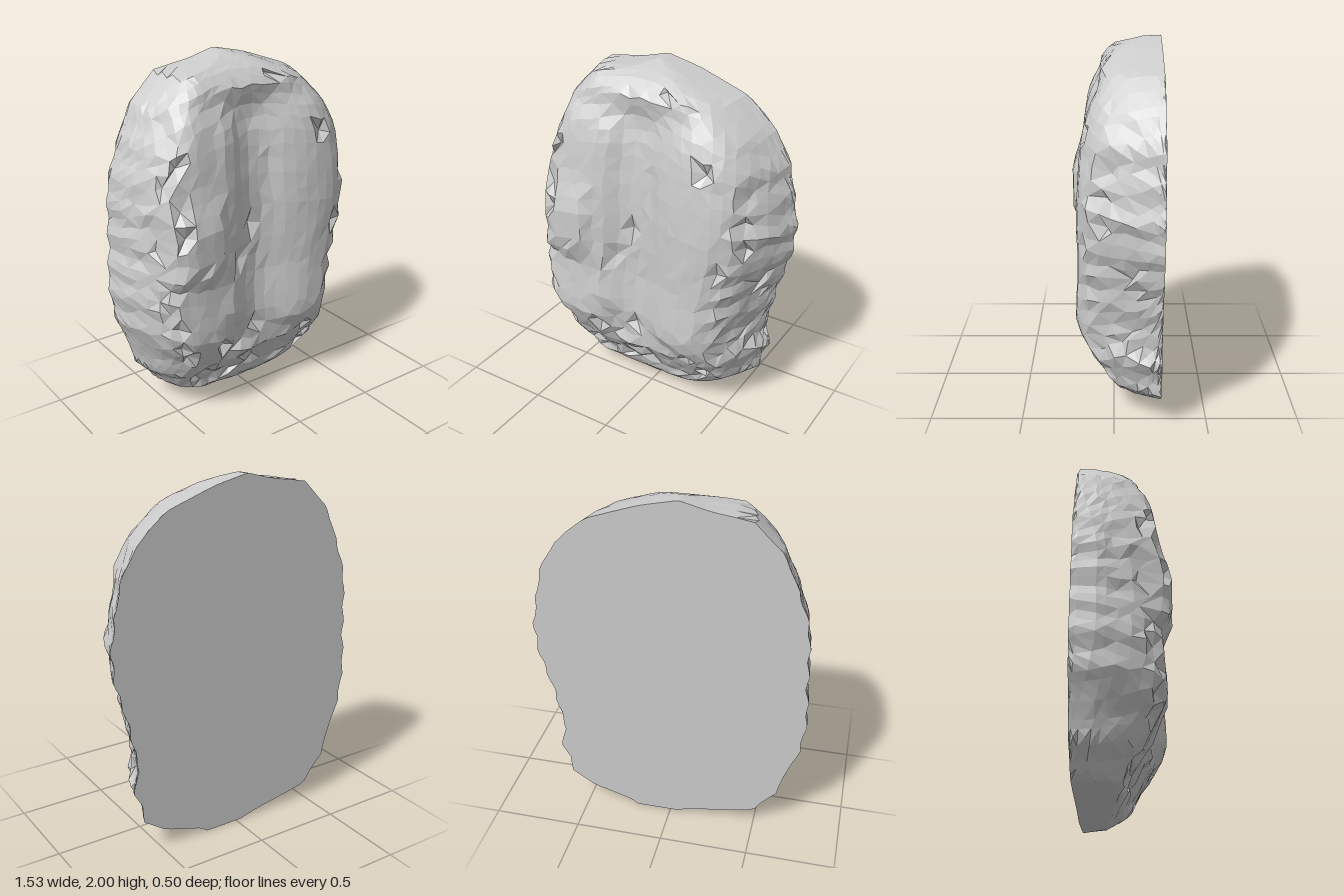
import * as THREE from 'three';

const BACK = -0.25;

// Outline and depth by height: y, left edge, right edge, front z
const LEVELS = [
  [0, -0.03, 0.2, -0.12], [0.03, -0.14, 0.24, -0.07], [0.08, -0.43, 0.4, -0.02],
  [0.1, -0.5, 0.47, -0.005], [0.19, -0.56, 0.6, 0.03], [0.25, -0.62, 0.61, 0.07],
  [0.33, -0.65, 0.62, 0.125], [0.4, -0.655, 0.67, 0.15], [0.45, -0.68, 0.63, 0.195],
  [0.5, -0.71, 0.62, 0.215], [0.6, -0.735, 0.64, 0.215], [0.8, -0.76, 0.68, 0.2],
  [1, -0.745, 0.74, 0.2], [1.18, -0.74, 0.76, 0.2], [1.36, -0.73, 0.73, 0.19],
  [1.5, -0.69, 0.7, 0.175], [1.6, -0.65, 0.67, 0.16], [1.7, -0.61, 0.6, 0.13],
  [1.78, -0.57, 0.53, 0.085], [1.86, -0.49, 0.43, 0.07], [1.93, -0.42, 0.23, 0.0],
  [1.96, -0.21, 0.14, -0.06], [2, -0.06, -0.04, -0.17],
];

// Cross-section from left to right: fraction of half width, fraction of depth
const SECTION = [
  [-1, 0], [-0.985, 0.28], [-0.93, 0.55], [-0.86, 0.8], [-0.77, 0.96], [-0.68, 1],
  [0.48, 1], [0.62, 0.97], [0.74, 0.87], [0.83, 0.68], [0.92, 0.38], [1, 0],
];

// Straight-line lookup in a table sorted by its first column
function lookup(table, key) {
  let k = 0;
  while (k < table.length - 2 && table[k + 1][0] < key) k++;
  const t = (key - table[k][0]) / (table[k + 1][0] - table[k][0]);
  return table[k].map((v, i) => v + (table[k + 1][i] - v) * t);
}

function seeded(seed) {
  return () => {
    seed = (seed * 1664525 + 1013904223) % 4294967296;
    return seed / 4294967296;
  };
}

const step = THREE.MathUtils.smoothstep;
const band = (v, a, b, c, d) => step(v, a, b) * (1 - step(v, c, d));

// Carving of the front face
function relief(x, y) {
  const hollow = -0.09 * Math.exp(-(((x + 0.03) / 0.19) ** 2)) * band(y, 0.33, 0.48, 1.68, 1.85);
  const pad = 0.05 * band(x, -0.66, -0.58, -0.31, -0.27) * band(y, 0.88, 0.93, 1.15, 1.4);
  const ledge = 0.018 * band(x, -0.32, -0.24, -0.19, -0.15) * band(y, 0.55, 0.65, 1.65, 1.75);
  const crease = -0.01 * band(x, 0, 0.03, 0.06, 0.09) * band(y, 1, 1.05, 1.5, 1.55);
  return hollow + pad + ledge + crease;
}

// Faceted surface over a grid of points
function surface(rows) {
  const positions = [];
  for (let i = 0; i < rows.length - 1; i++) {
    for (let j = 0; j < rows[i].length - 1; j++) {
      const a = rows[i][j], b = rows[i][j + 1], c = rows[i + 1][j + 1], d = rows[i + 1][j];
      const tris = (i * 7 + j * 3) % 5 < 3 ? [a, b, c, a, c, d] : [a, b, d, b, c, d];
      tris.forEach((p) => positions.push(p.x, p.y, p.z));
    }
  }
  const geometry = new THREE.BufferGeometry();
  geometry.setAttribute('position', new THREE.Float32BufferAttribute(positions, 3));
  geometry.computeVertexNormals();
  return geometry;
}

export function createModel() {
  const random = seeded(17);
  const jitter = (amount) => (random() * 2 - 1) * amount;
  const cells = 34;

  function stonePoint(u, v) {
    // Square grid rounded to a disc, with points gathered towards the rim
    let dx = u * Math.sqrt(1 - (v * v) / 2), dy = v * Math.sqrt(1 - (u * u) / 2);
    const radius = Math.hypot(dx, dy);
    const reach = Math.sin((Math.min(radius, 1) * Math.PI) / 2);
    if (radius > 0) {
      dx *= reach / radius;
      dy *= reach / radius;
    }
    const rim = Math.max(Math.abs(u), Math.abs(v)) > 0.999;
    const inside = rim ? 0 : Math.min(1, (1 - reach) * 9);

    // Disc fitted to the wavy outline
    const y = 1 + dy + jitter(0.012) * inside;
    const [, left, right, front] = lookup(LEVELS, y);
    const chord = Math.sqrt(Math.max(1 - dy * dy, 1e-9));
    const across = THREE.MathUtils.clamp(dx / chord, -1, 1);
    const wave = 1 + 0.012 * Math.sin(y * 37 + Math.sign(across)) * band(y, 0.1, 0.3, 1.6, 1.9);
    const x = (left + right) / 2 + ((right - left) / 2) * across * wave + jitter(0.01) * inside;
    if (rim) return new THREE.Vector3(x, y, BACK);

    // Chipped flanks and lower edge, smoother face
    const fraction = lookup(SECTION, across)[1];
    const rough = Math.max(1 - step(y, 0.4, 0.55), step(Math.abs(x), 0.45, 0.6));
    let z = BACK + (front - BACK + relief(x, y)) * fraction;
    z += jitter(0.002 + 0.01 * rough) * inside;
    if (random() < 0.015 + 0.12 * rough) z -= (0.02 + 0.03 * random()) * inside;
    return new THREE.Vector3(x, y, Math.max(z, BACK));
  }

  const rows = [];
  for (let i = 0; i <= cells; i++) {
    rows.push([]);
    for (let j = 0; j <= cells; j++) rows[i].push(stonePoint((2 * j) / cells - 1, (2 * i) / cells - 1));
  }

  const material = new THREE.MeshStandardMaterial({ color: 0xcccccc, flatShading: true });
  const group = new THREE.Group();
  group.name = 'stoneSlab';

  const face = new THREE.Mesh(surface(rows), material);
  face.name = 'carvedFace';
  group.add(face);

  // Flat back on the same rim, wound the other way
  const flat = rows.map((row) => row.map((p) => new THREE.Vector3(p.x, p.y, BACK)).reverse());
  const back = new THREE.Mesh(surface(flat), material);
  back.name = 'flatBack';
  group.add(back);

  return group;
}
